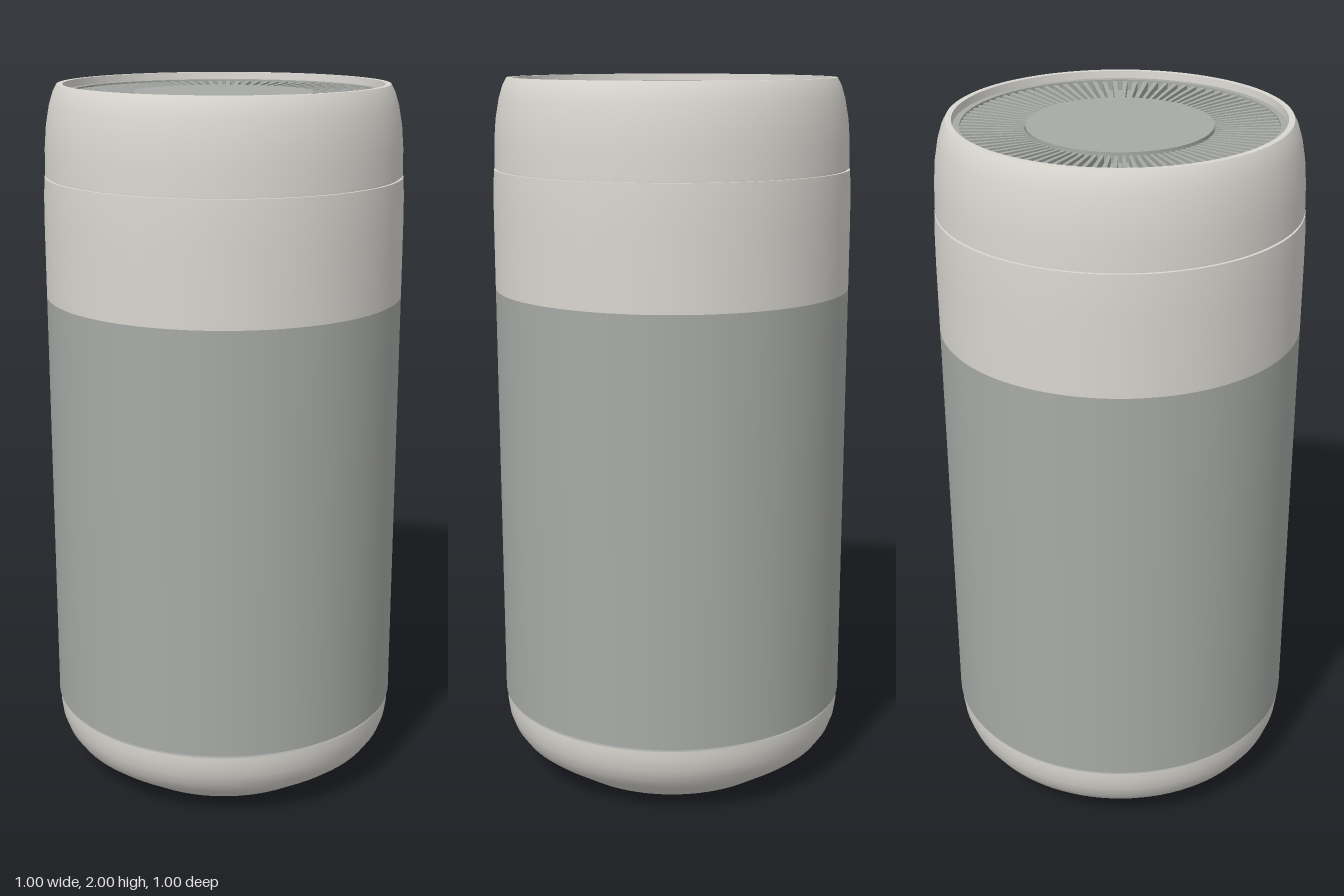
import * as THREE from 'three';
import { mergeGeometries } from 'three/addons/utils/BufferGeometryUtils.js';

const SEGMENTS = 96;

export function createModel() {
  const model = new THREE.Group();
  const shell = new THREE.MeshStandardMaterial({ color: 0xd9d6d0 });
  shell.name = 'warm light grey';
  const grey = new THREE.MeshStandardMaterial({ color: 0xa7aaa6 });
  grey.name = 'mid grey';

  const add = (name, geometry, material) => {
    const mesh = new THREE.Mesh(geometry, material);
    mesh.name = name;
    model.add(mesh);
    return mesh;
  };
  // Profiles run as [radius, height], outer walls bottom to top
  const lathe = (name, points, material) =>
    add(name, new THREE.LatheGeometry(points.map(([r, y]) => new THREE.Vector2(r, y)), SEGMENTS), material);

  // Base: flat foot, chamfer and rounded shoulder
  lathe('foot', [[0, 0], [0.335, 0]], grey);
  lathe('baseChamfer', [[0.335, 0], [0.425, 0.06]], shell);
  lathe('baseShoulder', [[0.425, 0.06], [0.456, 0.084], [0.478, 0.115], [0.491, 0.15], [0.496, 0.185], [0.496, 0.21]], shell);

  // Seam between base and body
  lathe('baseSeamLower', [[0.496, 0.21], [0.485, 0.21]], grey);
  lathe('baseSeam', [[0.485, 0.21], [0.485, 0.218]], grey);
  lathe('baseSeamUpper', [[0.485, 0.218], [0.5, 0.218]], grey);

  // Main body and the light band above it
  lathe('body', [[0.5, 0.218], [0.5, 1.42]], grey);
  lathe('upperBand', [[0.5, 1.42], [0.5, 1.62], [0.499, 1.7], [0.496, 1.752]], shell);

  // Fine seam below the cap
  lathe('capSeamLower', [[0.496, 1.752], [0.488, 1.752]], shell);
  lathe('capSeam', [[0.488, 1.752], [0.488, 1.757]], shell);
  lathe('capSeamUpper', [[0.488, 1.757], [0.495, 1.757]], shell);

  // Rounded cap with its narrow top lip
  lathe('cap', [[0.495, 1.757], [0.493, 1.83], [0.488, 1.89], [0.478, 1.945], [0.467, 1.98], [0.456, 2]], shell);
  lathe('lip', [[0.456, 2], [0.44, 2]], shell);
  lathe('lipInside', [[0.44, 2], [0.438, 1.98]], shell);

  // Recessed grille tray
  lathe('grilleRing', [[0.438, 1.98], [0.42, 1.98]], grey);
  lathe('grilleWall', [[0.42, 1.98], [0.42, 1.95]], grey);
  lathe('grilleFloor', [[0.42, 1.95], [0.245, 1.95]], grey);

  // Radial fins, tapering towards the centre
  const fins = [];
  const finCount = 90;
  for (let i = 0; i < finCount; i++) {
    const fin = new THREE.BoxGeometry(0.17, 0.026, 0.013);
    const p = fin.attributes.position;
    for (let k = 0; k < p.count; k++) {
      if (p.getX(k) < 0) {
        p.setZ(k, p.getZ(k) * 0.65);
        if (p.getY(k) > 0) p.setY(k, 0.006);
      }
    }
    fin.computeVertexNormals();
    fin.translate(0.335, 1.963, 0);
    fin.rotateY((i / finCount) * Math.PI * 2);
    fins.push(fin);
  }
  add('grilleFins', mergeGeometries(fins), grey);

  // Round button in the middle of the grille
  const button = new THREE.CylinderGeometry(0.248, 0.248, 0.027, SEGMENTS);
  add('topButton', button, grey).position.y = 1.9635;

  return model;
}
